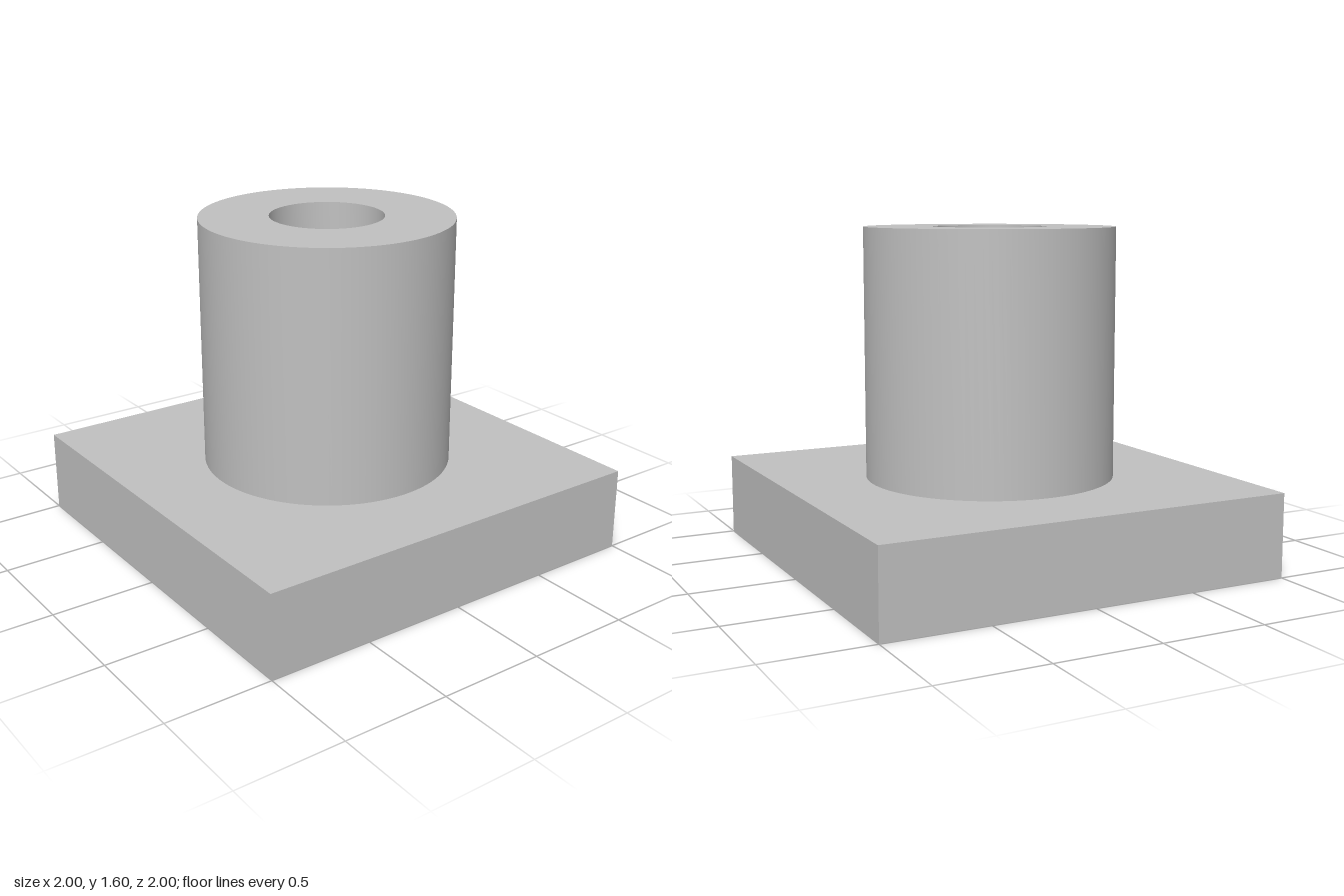
import * as THREE from 'three';
import { toCreasedNormals } from 'three/addons/utils/BufferGeometryUtils.js';

const SEGMENTS = 96;
const BASE_TOP = 0.4, BOSS_TOP = 1.6, THREAD_TOP = 1.4;
const BOSS_RADIUS = 0.6, BORE_RADIUS = 0.27, CREST_RADIUS = 0.22;
const PITCH = 0.1;

// V-thread radius: a triangle wave that advances one pitch per turn
function threadRadius(turn, y) {
  const phase = (y - THREAD_TOP) / PITCH - turn;
  const wave = Math.abs(2 * (phase - Math.floor(phase)) - 1);
  return BORE_RADIUS + (CREST_RADIUS - BORE_RADIUS) * wave;
}

// Surface from rows of points around the axis, facing inward; pointAt gives [radius, y]
function ringSurface(rows, pointAt) {
  const positions = [], index = [];
  for (let j = 0; j <= rows; j++) {
    for (let i = 0; i <= SEGMENTS; i++) {
      const turn = i / SEGMENTS, angle = turn * Math.PI * 2;
      const [r, y] = pointAt(turn, j);
      positions.push(r * Math.cos(angle), y, -r * Math.sin(angle));
      if (i < SEGMENTS && j < rows) {
        const a = j * (SEGMENTS + 1) + i, d = a + SEGMENTS + 1;
        index.push(a, d + 1, a + 1, a, d, d + 1);
      }
    }
  }
  const geometry = new THREE.BufferGeometry();
  geometry.setAttribute('position', new THREE.Float32BufferAttribute(positions, 3));
  geometry.setIndex(index);
  return toCreasedNormals(geometry, 0.5);
}

export function createModel() {
  const model = new THREE.Group();
  model.name = 'threadedBossOnPlate';
  const steel = new THREE.MeshStandardMaterial({ color: 0xc0c0c0 });
  steel.name = 'plain grey';

  const add = (name, geometry) => {
    const mesh = new THREE.Mesh(geometry, steel);
    mesh.name = name;
    model.add(mesh);
    return mesh;
  };

  // Square base plate
  add('basePlate', new THREE.BoxGeometry(2, BASE_TOP, 2)).position.y = BASE_TOP / 2;

  // Boss wall, top rim and smooth upper bore
  const profile = [
    [BOSS_RADIUS, BASE_TOP], [BOSS_RADIUS, BOSS_TOP],
    [BORE_RADIUS, BOSS_TOP], [BORE_RADIUS, THREAD_TOP],
  ].map(([r, y]) => new THREE.Vector2(r, y));
  add('boss', toCreasedNormals(new THREE.LatheGeometry(profile, SEGMENTS), 0.5));

  // Ledge where the thread starts
  add('threadLedge', ringSurface(1, (turn, j) =>
    [j ? BORE_RADIUS : threadRadius(turn, THREAD_TOP), THREAD_TOP]));

  // Helical thread: rows follow crests and roots, trimmed at both ends
  const halfTurns = Math.round((THREAD_TOP - BASE_TOP) / PITCH) * 2;
  add('internalThread', ringSurface(halfTurns + 2, (turn, j) => {
    const y = THREE.MathUtils.clamp(
      BASE_TOP + (j - 2) * PITCH / 2 + turn * PITCH, BASE_TOP, THREAD_TOP);
    return [threadRadius(turn, y), y];
  }));

  // Flat floor of the hole
  const floor = add('holeFloor', new THREE.CircleGeometry(BORE_RADIUS, SEGMENTS));
  floor.rotation.x = -Math.PI / 2;
  floor.position.y = BASE_TOP + 0.002;

  return model;
}
